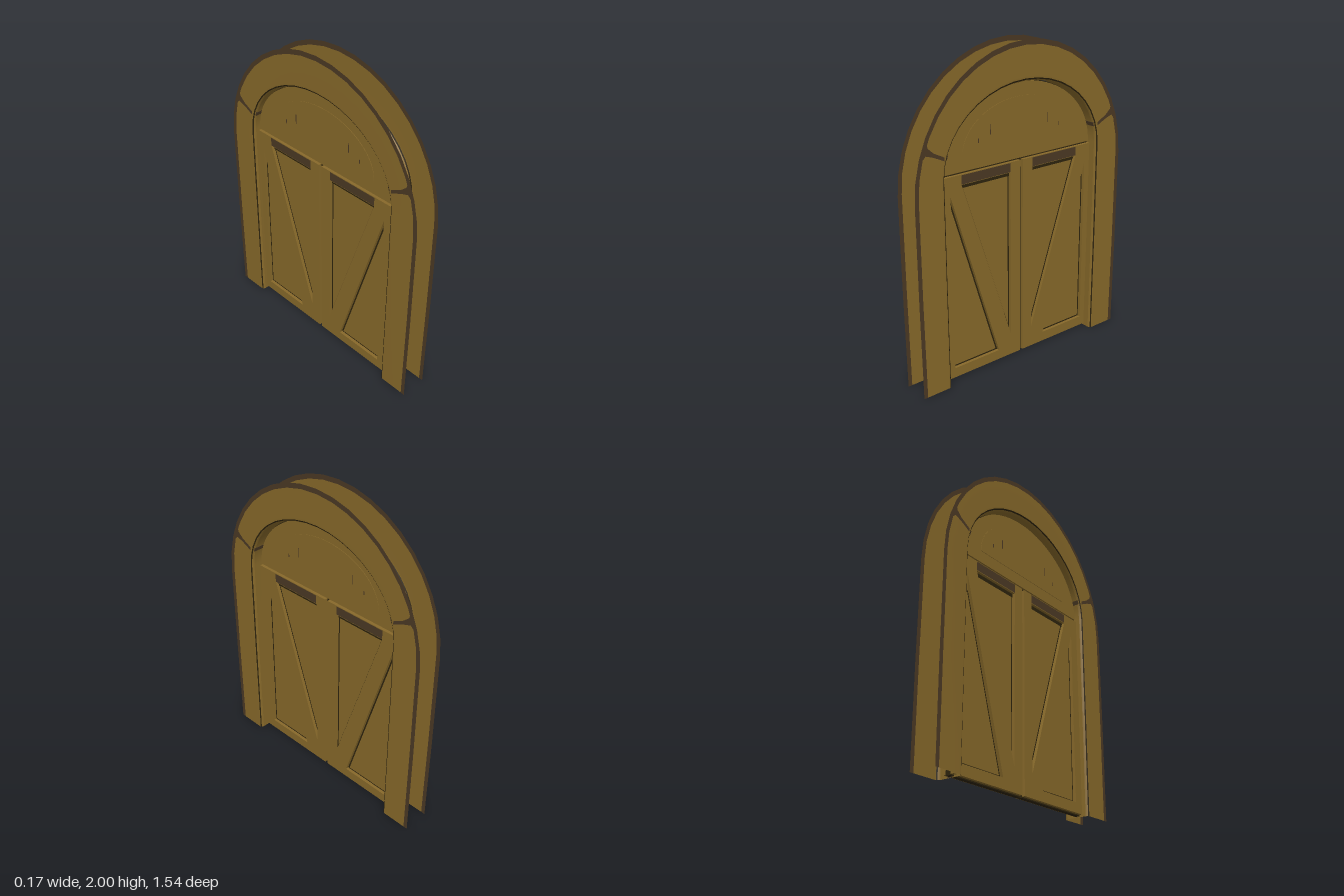
import * as THREE from 'three';

const mat = (name, color, side = THREE.FrontSide) => {
  const m = new THREE.MeshStandardMaterial({ color, side });
  m.name = name;
  return m;
};

export function createModel() {
  const wood = mat('wood', 0x87692a, THREE.DoubleSide);
  const worn = mat('worn wood', 0x4b3924, THREE.DoubleSide);
  const dark = mat('dark seam', 0x2d230d, THREE.DoubleSide);

  // Built facing local z, then turned so the door faces +x and -x
  const root = new THREE.Group();
  root.name = 'archedDoor';
  const door = new THREE.Group();
  door.name = 'doorway';
  door.rotation.y = -Math.PI / 2;
  root.add(door);

  const add = (name, geometry, material, parent = door) => {
    const mesh = new THREE.Mesh(geometry, material);
    mesh.name = name;
    parent.add(mesh);
    return mesh;
  };

  // Outline: straight post, half ellipse, straight post
  const rail = (foot, rx, spring, ry, steps = 20) => {
    const pts = [[foot, 0], [rx, spring * 0.5]];
    for (let i = 0; i <= steps; i++) {
      const a = (Math.PI * i) / steps;
      pts.push([rx * Math.cos(a), spring + ry * Math.sin(a)]);
    }
    pts.push([-rx, spring * 0.5], [-foot, 0]);
    return pts;
  };
  const inner = rail(0.565, 0.567, 1.3, 0.464);
  const outer = rail(0.765, 0.77, 1.2, 0.8);
  const last = inner.length - 1;

  // Sweep a section of [depth, fraction from inner to outer rail]; width(i) scales the depth
  const sweep = (name, section, material, from = 0, to = last, width = () => 1) => {
    const pos = [], idx = [], n = section.length;
    for (let i = from; i <= to; i++) {
      for (const [d, t] of section) {
        pos.push(
          inner[i][0] + (outer[i][0] - inner[i][0]) * t,
          inner[i][1] + (outer[i][1] - inner[i][1]) * t,
          d * width(i));
      }
    }
    for (let i = 0; i < to - from; i++) {
      for (let j = 0; j < n - 1; j++) {
        const a = i * n + j, b = a + n;
        idx.push(a, a + 1, b, b, a + 1, b + 1);
      }
    }
    const g = new THREE.BufferGeometry();
    g.setAttribute('position', new THREE.Float32BufferAttribute(pos, 3));
    g.setIndex(idx);
    g.computeVertexNormals();
    return add(name, g, material);
  };

  // Frame: web, rounded corners and thin open flanges with a worn rim
  sweep('frameWeb', [[0.066, 0], [-0.066, 0]], wood);
  for (const s of [1, -1]) {
    sweep('frameCorner', [[0.066 * s, 0], [0.074 * s, 0.015], [0.079 * s, 0.035]], wood);
    sweep('frameCornerSeam', [[0.079 * s, 0.035], [0.0835 * s, 0.07]], dark);
    sweep('frameFlange', [[0.0835 * s, 0.07], [0.085 * s, 0.12], [0.085 * s, 0.87]], wood);
    sweep('frameRim', [[0.085 * s, 0.87], [0.085 * s, 1]], worn);
  }

  // Worn strips on the outside of the web, tapering above the joints
  const taper = (i) => {
    const k = Math.min(i, last - i);
    return k <= 4 ? 1 : k === 5 ? 0.45 : 0.3;
  };
  sweep('webStripe', [[0.016, 0.012], [-0.016, 0.012]], worn, 0, last, taper);
  sweep('crownStripe', [[0.06, 0.018], [-0.02, 0.018]], worn, 10, 16);

  const poly = (pts) => new THREE.Shape(pts.map((p) => new THREE.Vector2(...p)));
  const slab = (shape, half) =>
    new THREE.ExtrudeGeometry(shape, { depth: half * 2, bevelEnabled: false, curveSegments: 24 })
      .translate(0, 0, -half);

  // Joints where the posts meet the arch, flaring into the rim
  for (const side of [1, -1]) {
    const joint = poly([[0.572, 1.41], [0.64, 1.443], [0.69, 1.46], [0.72, 1.43], [0.727, 1.46],
      [0.712, 1.5], [0.688, 1.55], [0.676, 1.5], [0.64, 1.467], [0.572, 1.432]]
      .map(([u, v]) => [u * side, v]));
    for (const s of [1, -1]) {
      add('flangeJoint', new THREE.ShapeGeometry(joint), worn).position.z = 0.0858 * s;
    }
    const band = add('webJoint', new THREE.BoxGeometry(0.008, 0.026, 0.15), worn);
    band.position.set(0.5485 * side, 1.42, 0);
    band.rotation.z = 0.3 * side;
  }

  // Shrink a triangle by a set distance about its incentre
  const inset = (tri, d) => {
    const [A, B, C] = tri.map((p) => new THREE.Vector2(...p));
    const a = B.distanceTo(C), b = C.distanceTo(A), c = A.distanceTo(B), sum = a + b + c;
    const mid = new THREE.Vector2((a * A.x + b * B.x + c * C.x) / sum, (a * A.y + b * B.y + c * C.y) / sum);
    const area = Math.abs((B.x - A.x) * (C.y - A.y) - (C.x - A.x) * (B.y - A.y)) / 2;
    const k = 1 - (d * sum) / (2 * area);
    return [A, B, C].map((p) => [mid.x + (p.x - mid.x) * k, mid.y + (p.y - mid.y) * k]);
  };

  // Two braced leaves mirrored about the meeting line, set slightly towards one face
  const rect = (x0, y0, x1, y1) => [[x0, y0], [x1, y0], [x1, y1], [x0, y1]];
  for (const side of [1, -1]) {
    const leaf = new THREE.Group();
    leaf.name = side > 0 ? 'leftLeaf' : 'rightLeaf';
    leaf.position.set(-0.015, 0, 0.01);
    door.add(leaf);
    const flip = (pts) => pts.map(([u, v]) => [u * side, v]);
    const upper = [[0.435, 1.225], [0.083, 1.225], [0.083, 0.155]];
    const lower = [[0.513, 1.17], [0.513, 0.075], [0.18, 0.075]];

    add('leafCore', slab(poly(flip(rect(0.005, 0.005, 0.578, 1.289))), 0.015), dark, leaf);
    const frame = poly(flip(rect(0.01, 0.012, 0.574, 1.287)));
    frame.holes.push(poly(flip(upper)), poly(flip(lower)));
    add('leafFrame', slab(frame, 0.035), wood, leaf);
    for (const tri of [upper, lower]) {
      add('leafPanel', slab(poly(flip(inset(tri, 0.011))), 0.018), wood, leaf);
    }
    const wornRail = poly(flip(rect(0.083, 1.228, 0.435, 1.283)));
    const shadow = poly(flip([[0.084, 1.2], [0.426, 1.2], [0.434, 1.224], [0.084, 1.224]]));
    for (const s of [1, -1]) {
      add('wornTopRail', new THREE.ShapeGeometry(wornRail), worn, leaf).position.z = 0.0358 * s;
      add('topRailShadow', new THREE.ShapeGeometry(shadow), dark, leaf).position.z = 0.019 * s;
    }
  }

  // Arched panel above the leaves
  const arch = (rx, ry, y0, spring) => {
    const s = new THREE.Shape();
    s.moveTo(-rx, y0);
    s.lineTo(rx, y0);
    s.lineTo(rx, spring);
    s.absellipse(0, spring, rx, ry, 0, Math.PI, false);
    s.closePath();
    return s;
  };
  const top = new THREE.Group();
  top.name = 'archPanelGroup';
  top.position.set(-0.003, 0, 0.01);
  door.add(top);
  add('archPanelCore', slab(arch(0.559, 0.449, 1.297, 1.306), 0.015), dark, top);
  add('archPanel', slab(arch(0.555, 0.445, 1.3, 1.306), 0.03), wood, top);
  add('archRaisedField', slab(arch(0.41, 0.28, 1.375, 1.39), 0.0325), wood, top);
  for (const [u, v, h] of [[0.215, 1.51, 0.06], [0.3, 1.46, 0.025]]) {
    for (const s of [1, -1]) {
      add('panelCrack', new THREE.BoxGeometry(0.005, h, 0.067), worn, top).position.set(u * s, v, 0);
    }
  }
  return root;
}
